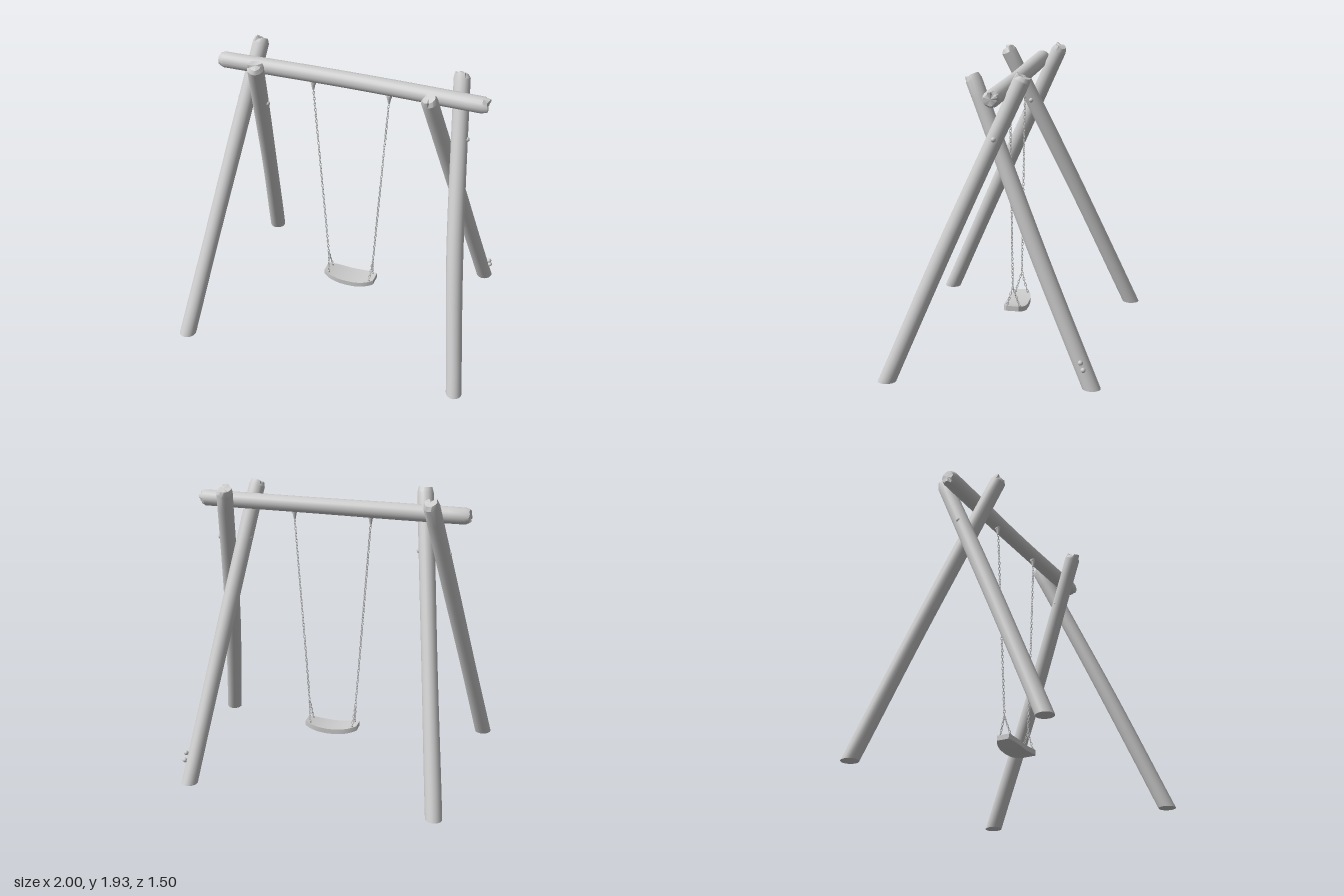
import * as THREE from 'three';
import { toCreasedNormals } from 'three/addons/utils/BufferGeometryUtils.js';

const V = (x, y, z) => new THREE.Vector3(x, y, z);
const UP = V(0, 1, 0);
const SIDES = 20;

function seeded(seed) {
  let s = seed;
  return () => (s = (s * 16807) % 2147483647) / 2147483647;
}

// Round timber along a curve; ends are rough-hewn, or cut level with the ground
function logGeometry(points, radius, seed, groundCut) {
  const rand = seeded(seed * 7919 + 13);
  const curve = new THREE.CatmullRomCurve3(points);
  const chip = 0.03 / curve.getLength();
  const rings = groundCut
    ? [{ t: 0, s: 0 }, { t: 0, s: 1 }]
    : [{ t: 0, s: 0 }, { t: 0, s: 0.78, rough: 1 }, { t: chip, s: 1 }];
  for (let i = 1; i < 14; i++) rings.push({ t: i / 14, s: 1 });
  rings.push({ t: 1 - chip, s: 1 }, { t: 1, s: 0.75, rough: 1 }, { t: 1, s: 0 });

  const pos = [], index = [];
  rings.forEach(({ t, s, rough }, i) => {
    const c = curve.getPointAt(t), T = curve.getTangentAt(t);
    const U = V(0, 0, 1).cross(T).normalize(), W = T.clone().cross(U);
    const chips = Array.from({ length: SIDES / 2 }, () => rand() - 0.5);
    for (let j = 0; j <= SIDES; j++) {
      const k = j % SIDES, a = (k / SIDES) * Math.PI * 2;
      const cut = rough ? chips[k >> 1] : 0;
      const wobble = 1 + 0.02 * Math.sin(2 * a + seed + 5 * t) + 0.015 * Math.sin(9 * t + seed);
      const r = radius * s * wobble * (1 + cut * 0.35);
      const p = c.clone().addScaledVector(U, r * Math.cos(a)).addScaledVector(W, r * Math.sin(a));
      p.addScaledVector(T, cut * 0.016);
      if (groundCut && t === 0) p.addScaledVector(T, -p.y / T.y);
      pos.push(p.x, p.y, p.z);
      if (i && j) {
        const d = i * (SIDES + 1) + j, b = d - SIDES - 1;
        index.push(b - 1, b, d, b - 1, d, d - 1);
      }
    }
  });
  const g = new THREE.BufferGeometry();
  g.setAttribute('position', new THREE.Float32BufferAttribute(pos, 3));
  g.setIndex(index);
  return toCreasedNormals(g, 0.5);
}

export function createModel() {
  const model = new THREE.Group();
  model.name = 'swingFrame';
  const mat = new THREE.MeshStandardMaterial({ color: 0xcccccc });
  const add = (parent, name, geometry, p = V(0, 0, 0)) => {
    const m = new THREE.Mesh(geometry, mat);
    m.name = name;
    m.position.copy(p);
    parent.add(m);
    return m;
  };

  // Four leaning legs: foot, slight bow at the middle, top
  const legs = [
    ['rightBackLeg', V(-0.845, 0, -0.695), V(0, 0, -0.01), V(-0.57, 1.9, 0.18)],
    ['rightFrontLeg', V(-0.945, 0, 0.685), V(0, 0, 0.005), V(-0.675, 1.9, -0.18)],
    ['leftBackLeg', V(0.815, 0, -0.63), V(0.005, 0, 0.012), V(0.56, 1.88, 0.165)],
    ['leftFrontLeg', V(0.945, 0, 0.64), V(-0.014, 0, 0.012), V(0.675, 1.9, -0.175)],
  ];
  legs.forEach(([name, foot, bow, top], i) => {
    const mid = foot.clone().lerp(top, 0.45).add(bow);
    add(model, name, logGeometry([foot, mid, top], 0.053, i + 1, true));
  });

  // Top beam
  add(model, 'topBeam', logGeometry(
    [V(-0.9, 1.787, -0.016), V(0, 1.792, -0.028), V(0.89, 1.792, -0.018)], 0.053, 6, false));

  // Bolt heads at the leg crossings and near one foot
  const boltGeo = new THREE.SphereGeometry(0.016, 12, 8);
  for (const s of [-1, 1]) {
    add(model, 'crossingBolt', boltGeo, V(s * 0.772, 1.53, -0.01));
    add(model, 'crossingBolt', boltGeo, V(s * 0.572, 1.53, 0.01));
  }
  add(model, 'footBolt', boltGeo, V(0.858, 0.18, -0.565));
  add(model, 'footBolt', boltGeo, V(0.862, 0.135, -0.583));

  // Chain of alternating oval links between two points
  const link = new THREE.TorusGeometry(0.0065, 0.0022, 5, 10);
  link.scale(1, 1.9, 1);
  function chain(parent, name, from, to) {
    const g = new THREE.Group();
    g.name = name;
    const dir = to.clone().sub(from);
    const n = Math.round(dir.length() / 0.021);
    const q = new THREE.Quaternion().setFromUnitVectors(UP, dir.normalize());
    for (let i = 0; i < n; i++) {
      const m = add(g, 'link', link, from.clone().lerp(to, (i + 0.5) / n));
      m.quaternion.copy(q).multiply(
        new THREE.Quaternion().setFromAxisAngle(UP, Math.PI / 4 + (i % 2) * Math.PI / 2));
    }
    parent.add(g);
  }

  const swing = new THREE.Group();
  swing.name = 'swing';
  model.add(swing);
  for (const s of [-1, 1]) {
    // Hanger: plate under the beam with a tapered swivel
    add(swing, 'hangerPlate', new THREE.CylinderGeometry(0.019, 0.017, 0.02, 14), V(s * 0.255, 1.737, -0.012));
    add(swing, 'hangerSwivel', new THREE.CylinderGeometry(0.014, 0.007, 0.04, 12), V(s * 0.255, 1.708, -0.008));
    const fork = V(s * 0.162, 0.4, -0.005);
    chain(swing, 'mainChain', V(s * 0.255, 1.695, -0.007), fork);
    for (const f of [-1, 1]) {
      const end = V(s * 0.148, 0.262, -0.005 + f * 0.042);
      chain(swing, 'forkChain', fork, end);
      add(swing, 'chainAnchor', new THREE.CylinderGeometry(0.007, 0.009, 0.014, 10), end);
    }
  }

  // Seat: a board curved up at the ends and wider in the middle
  const seat = new THREE.BoxGeometry(0.36, 0.034, 1, 20, 1, 1);
  const p = seat.attributes.position;
  for (let i = 0; i < p.count; i++) {
    const u = Math.abs(p.getX(i)) / 0.18;
    p.setZ(i, p.getZ(i) * 2 * 0.077 * (1 - 0.45 * u ** 3.5));
    p.setY(i, p.getY(i) + 0.028 * u * u);
  }
  add(swing, 'seat', toCreasedNormals(seat, 0.6), V(0, 0.223, -0.005));
  return model;
}
